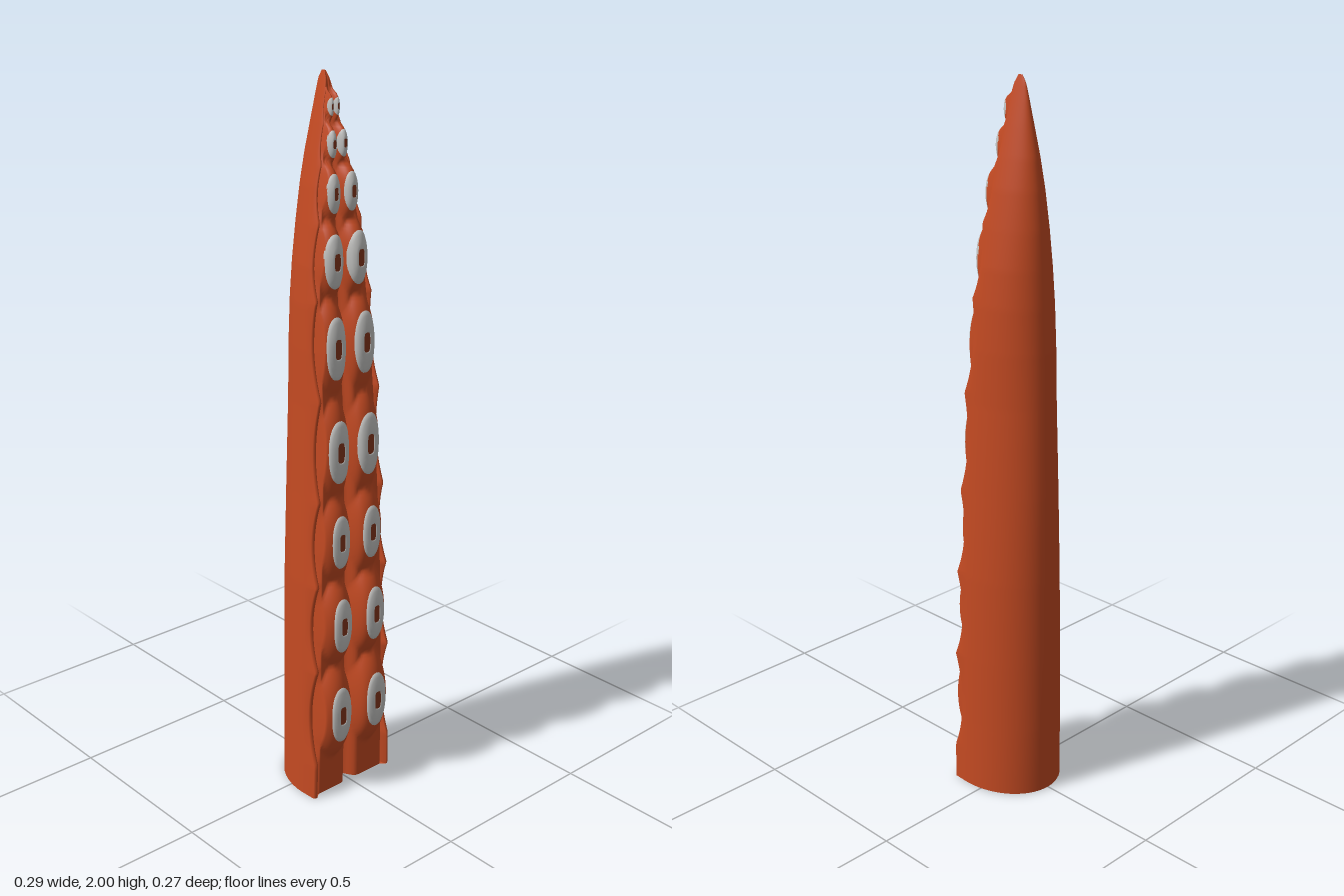
import * as THREE from 'three';

// Profile along the height: y, half width, back z, front edge z
const PROFILE = [
  [0, .147, -.132, .103], [.2, .143, -.134, .106], [.4, .14, -.133, .106], [.65, .134, -.131, .104],
  [.9, .122, -.128, .098], [1.15, .111, -.122, .088], [1.3, .107, -.118, .076], [1.42, .101, -.113, .066],
  [1.52, .092, -.107, .058], [1.62, .078, -.1, .05], [1.72, .062, -.089, .037], [1.8, .046, -.077, .026],
  [1.88, .029, -.06, .014], [1.94, .016, -.047, .006], [1.98, .007, -.037, -.002], [2, .002, -.025, -.012],
];
// Sucker pairs: y, x, front z, ring half width, ring half height, pad half height
const SUCKERS = [
  [.255, .066, .137, .035, .084, .15], [.53, .06, .135, .032, .08, .135], [.775, .056, .121, .031, .076, .13],
  [1.03, .053, .111, .036, .087, .145], [1.31, .05, .096, .033, .084, .135], [1.535, .041, .082, .031, .07, .105],
  [1.705, .03, .065, .021, .05, .078], [1.825, .018, .045, .014, .034, .055], [1.915, .01, .028, .008, .022, .042],
];

function profileAt(y) {
  let i = 0;
  while (i < PROFILE.length - 2 && y > PROFILE[i + 1][0]) i++;
  const a = PROFILE[i], b = PROFILE[i + 1];
  const t = (y - a[0]) / (b[0] - a[0]);
  return [1, 2, 3].map(k => THREE.MathUtils.lerp(a[k], b[k], t));
}

// Depth of the front face: two rows of rounded pads beside a centre groove
function frontZ(x, y) {
  const [w, , edge] = profileAt(y);
  const ax = Math.abs(x);
  let z = edge - .08 * w;
  for (const [cy, cx, peak, , , b] of SUCKERS) {
    const r = Math.hypot((ax - cx) / (cx * .98), (y - cy) / b);
    if (r < 1) z = Math.max(z, z + (peak - z) * (1 - r ** 3));
  }
  const groove = Math.exp(-((ax / (w * .1 + .001)) ** 2));
  return z - groove * w * .25;
}

// One closed cross-section: rounded back, thin side lips, padded front
function section(y) {
  const [w, back, edge] = profileAt(y);
  let wave = 0;
  for (const [cy, , , , , b] of SUCKERS) wave = Math.max(wave, 1 - ((y - cy) / b) ** 2);
  const lip = edge - .2 * w * wave;
  const mid = edge - .36 * w;
  const pts = [];
  for (let i = 0; i <= 28; i++) {
    const a = (i / 28 - .5) * Math.PI;
    pts.push([w * Math.sin(a), y, mid - (mid - back) * Math.cos(a)]);
  }
  const side = [[.985, lip - .03 * w], [.95, lip], [.91, lip], [.87, lip - .12 * w]];
  for (const [k, z] of side) pts.push([w * k, y, z]);
  for (let i = 0; i <= 48; i++) {
    const x = w * .85 * (1 - i / 24);
    pts.push([x, y, Math.abs(i - 24) === 24 ? lip - .14 * w : frontZ(x, y)]);
  }
  for (const [k, z] of side.reverse()) pts.push([-w * k, y, z]);
  return pts;
}

function buildGeometry(points, index) {
  const g = new THREE.BufferGeometry();
  g.setAttribute('position', new THREE.Float32BufferAttribute(points.flat(), 3));
  g.setIndex(index);
  g.computeVertexNormals();
  return g;
}

function bodyGeometry() {
  const rows = 220, pts = [], idx = [];
  let n = 0;
  for (let i = 0; i <= rows; i++) {
    const s = section(2 * i / rows);
    n = s.length;
    pts.push(...s);
  }
  for (let i = 0; i < rows; i++) {
    for (let j = 0; j < n; j++) {
      const k = (j + 1) % n;
      const a = i * n + j, b = i * n + k;
      idx.push(a, a + n, b, b, a + n, b + n);
    }
  }
  return buildGeometry(pts, idx);
}

// Flat end closing the section at the given height
function capGeometry(y, up) {
  const s = section(y), idx = [];
  s.forEach((_, j) => {
    const k = (j + 1) % s.length;
    idx.push(s.length, up ? k : j, up ? j : k);
  });
  return buildGeometry([...s, [0, y, up ? -.018 : 0]], idx);
}

// Plate that follows the pad surface, running through [scale, lift] steps outwards
function padPlate(sucker, side, steps) {
  const [cy, cx, , rw, rh] = sucker;
  const seg = 32, pts = [], idx = [];
  for (const [k, lift] of steps) {
    const power = k < .4 ? .55 : .9;
    for (let j = 0; j < seg; j++) {
      const a = j / seg * Math.PI * 2, c = Math.cos(a), s = Math.sin(a);
      const x = side * cx + rw * k * Math.sign(c) * Math.abs(c) ** power;
      const y = cy + rh * k * Math.sign(s) * Math.abs(s) ** power;
      pts.push([x, y, frontZ(x, y) + lift]);
    }
  }
  for (let i = 0; i < steps.length - 1; i++) {
    for (let j = 0; j < seg; j++) {
      const k = (j + 1) % seg;
      const a = i * seg + j, b = i * seg + k;
      idx.push(a, a + seg, b, b, a + seg, b + seg);
    }
  }
  return buildGeometry(pts, idx);
}

export function createModel() {
  const group = new THREE.Group();
  const skin = new THREE.MeshStandardMaterial({ color: 0xc44a22 });
  const pale = new THREE.MeshStandardMaterial({ color: 0xc6c6c4, side: THREE.DoubleSide });
  const hollow = new THREE.MeshStandardMaterial({ color: 0x84361c, side: THREE.DoubleSide });
  skin.name = 'orange skin';
  pale.name = 'pale sucker';
  hollow.name = 'sucker hollow';

  const add = (geometry, material, name) => {
    const mesh = new THREE.Mesh(geometry, material);
    mesh.name = name;
    group.add(mesh);
  };

  add(bodyGeometry(), skin, 'tentacle');
  add(capGeometry(0, false), skin, 'baseCap');
  add(capGeometry(2, true), skin, 'tipCap');

  // Pale rings with a small dark hollow in each
  for (const sucker of SUCKERS) {
    const t = sucker[3] * .1;
    for (const side of [-1, 1]) {
      add(padPlate(sucker, side, [[.32, t * .3], [.36, t], [.6, t * 1.2], [.85, t], [1, t * .6], [1.02, -t]]), pale, 'suckerRing');
      add(padPlate(sucker, side, [[0, t * .3], [.34, t * .3]]), hollow, 'suckerHollow');
    }
  }
  return group;
}
